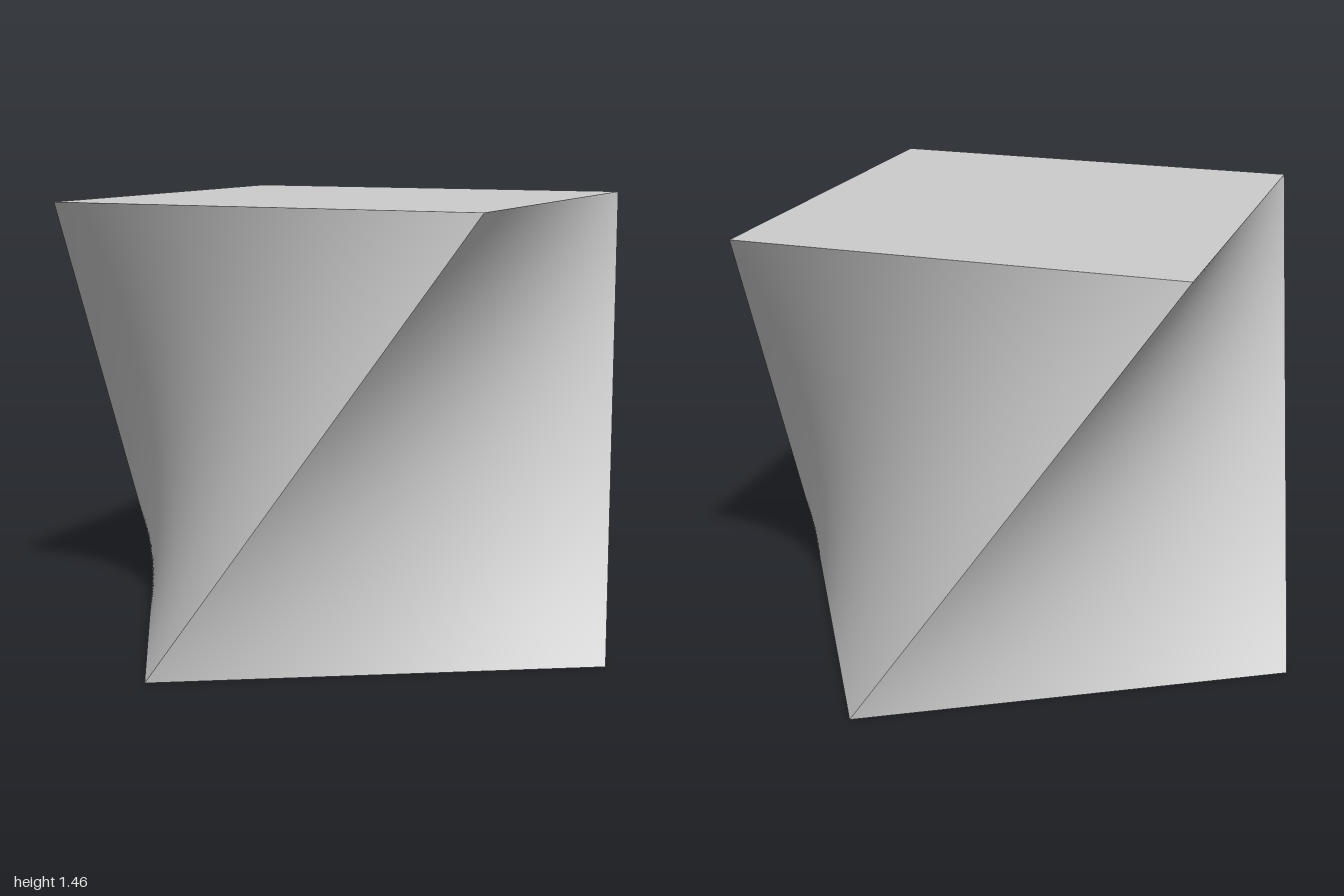
import * as THREE from 'three';

const SIZE = Math.sqrt(3) - 1; // half the edge, so the turned top spans 2 units
const TWIST = Math.PI / 3;
const SEGMENTS = 48;

export function createModel() {
  const group = new THREE.Group();
  group.name = 'twistedBlock';

  // Cube standing on the ground
  const edge = 2 * SIZE;
  const geometry = new THREE.BoxGeometry(edge, edge, edge, SEGMENTS, SEGMENTS, SEGMENTS);
  geometry.translate(0, SIZE, 0);

  // Ruled sides: each upright line runs straight from the base to the turned top
  const up = new THREE.Vector3(0, 1, 0);
  const position = geometry.attributes.position;
  const base = new THREE.Vector3();
  const turned = new THREE.Vector3();
  for (let i = 0; i < position.count; i++) {
    base.fromBufferAttribute(position, i);
    turned.copy(base).applyAxisAngle(up, TWIST);
    base.lerp(turned, base.y / edge);
    position.setXYZ(i, base.x, base.y, base.z);
  }
  // Box faces share no vertices, so sides shade smoothly and edges stay sharp
  geometry.computeVertexNormals();

  const block = new THREE.Mesh(geometry, new THREE.MeshStandardMaterial({ color: 0xcccccc }));
  block.name = 'block';
  group.add(block);
  return group;
}
